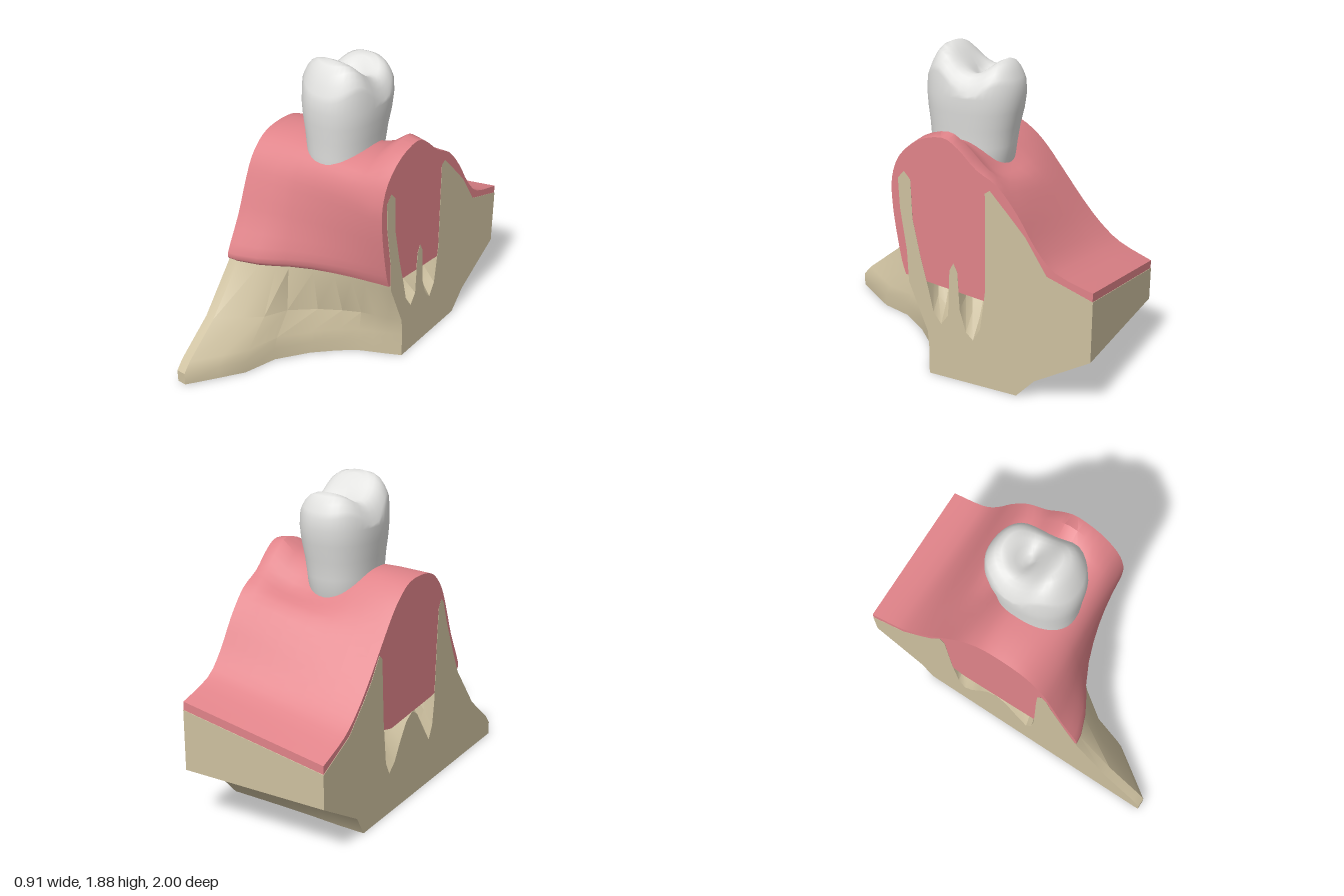
import * as THREE from 'three';
import { toCreasedNormals, mergeVertices } from 'three/addons/utils/BufferGeometryUtils.js';

const bonePaint = new THREE.MeshStandardMaterial({ color: 0xcdc09f });
bonePaint.name = 'bone beige';
const gumPaint = new THREE.MeshStandardMaterial({ color: 0xe08389 });
gumPaint.name = 'gum pink';
const toothPaint = new THREE.MeshStandardMaterial({ color: 0xe2e2e0 });
toothPaint.name = 'tooth white';

// Stations across the jaw: x, blend of wall, blend of foot, blend of ridge height, socket closure
const stations = [
  [-0.457, 0, 0, 0, 0], [-0.4, 0.02, 0, 0.1, 0.3], [-0.28, 0.15, 0.17, 0.2, 0.9],
  [-0.19, 0.3, 0.3, 0.2, 1], [-0.13, 0.42, 0.5, 0.2, 1], [0, 0.61, 0.68, 0.1, 1],
  [0.12, 0.74, 0.8, 0.15, 1], [0.22, 0.83, 0.88, 0.3, 1], [0.3, 0.89, 0.92, 0.55, 0.8],
  [0.38, 0.95, 0.96, 1.05, 0.3], [0.457, 1, 1, 0.95, 0],
];

// Bone cross-sections as [z, y]: foot, front wall, two root sockets, back wall, underside
const boneRight = [
  [1, 0], [1, 0.08], [0.95, 0.14], [0.73, 0.32], [0.51, 0.6], [0.44, 0.75], [0.34, 0.98],
  [0.3, 1.1], [0.27, 1.13], [0.24, 1.08], [0.23, 0.92], [0.22, 0.7], [0.21, 0.5], [0.19, 0.36],
  [0.15, 0.28], [0.09, 0.36], [0, 0.5], [-0.06, 0.54], [-0.13, 0.5], [-0.2, 0.4], [-0.26, 0.3],
  [-0.32, 0.25], [-0.36, 0.33], [-0.39, 0.6], [-0.41, 0.97], [-0.44, 1], [-0.52, 0.88],
  [-0.6, 0.79], [-0.75, 0.64], [-1, 0.52], [-1, 0.32], [-0.67, 0.12], [-0.6, 0],
];
const boneLeft = [
  [0, 0], [0, 0.08], [0, 0.16], [0.01, 0.27], [0.13, 0.56], [0.14, 0.75], [0.18, 1],
  [0.19, 1.18], [0.15, 1.225], [0.11, 1.18], [0.1, 0.95], [0.05, 0.72], [0, 0.53], [-0.03, 0.4],
  [-0.08, 0.335], [-0.125, 0.4], [-0.135, 0.68], [-0.16, 0.73], [-0.185, 0.68], [-0.2, 0.45], [-0.24, 0.32],
  [-0.285, 0.28], [-0.33, 0.36], [-0.36, 0.6], [-0.355, 1.18], [-0.385, 1.2], [-0.48, 1.1],
  [-0.6, 0.97], [-0.73, 0.77], [-1, 0.68], [-1, 0.32], [-0.67, 0.12], [-0.56, 0],
];

// Gum outer skin from front lip to back edge, then the hidden inner side
const gumRight = [
  [0.5, 0.61], [0.515, 0.66], [0.41, 0.87], [0.34, 1.05], [0.27, 1.2], [0.17, 1.3], [0.05, 1.335],
  [-0.1, 1.33], [-0.2, 1.28], [-0.3, 1.19], [-0.43, 1.03], [-0.55, 0.88], [-0.67, 0.75], [-0.8, 0.65], [-0.998, 0.57],
];
const gumLeft = [
  [0.15, 0.6], [0.175, 0.68], [0.21, 0.87], [0.23, 1.03], [0.23, 1.17], [0.18, 1.31], [0.06, 1.42],
  [-0.09, 1.46], [-0.19, 1.41], [-0.3, 1.31], [-0.43, 1.23], [-0.55, 1.09], [-0.66, 0.92], [-0.78, 0.8], [-0.998, 0.73],
];
const innerRight = [[-0.998, 0.5], [-0.67, 0.55], [-0.42, 0.55], [-0.3, 0.52], [0.15, 0.55], [0.4, 0.58]];
const innerLeft = [[-0.998, 0.66], [-0.67, 0.75], [-0.42, 0.6], [-0.36, 0.54], [0.04, 0.585], [0.1, 0.59]];

const lerp = THREE.MathUtils.lerp;
const across = (x) => (x + 0.457) / 0.914;

function toGeometry(positions, index, crease) {
  const g = new THREE.BufferGeometry();
  g.setAttribute('position', new THREE.Float32BufferAttribute(positions, 3));
  g.setIndex(index);
  return toCreasedNormals(g, crease);
}

// Skins closed [z, y] sections along x and caps both ends
function loft(sections, xs, crease) {
  const n = sections[0].length, positions = [], index = [];
  sections.forEach((s, j) => s.forEach(([z, y]) => positions.push(xs[j], y, z)));
  for (let j = 0; j < sections.length - 1; j++) {
    for (let i = 0; i < n; i++) {
      const k = (i + 1) % n;
      const a = j * n + i, b = j * n + k, c = b + n, d = a + n;
      index.push(a, d, c, a, c, b);
    }
  }
  for (const [j, side] of [[0, -1], [sections.length - 1, 1]]) {
    const pts = sections[j].map(([z, y]) => new THREE.Vector2(z, y));
    for (const [a, b, c] of THREE.ShapeUtils.triangulateShape(pts, [])) {
      const area = THREE.ShapeUtils.area([pts[a], pts[b], pts[c]]);
      const tri = area * side < 0 ? [a, b, c] : [a, c, b];
      index.push(...tri.map((v) => v + j * n));
    }
  }
  return toGeometry(positions, index, crease);
}

function boneGeometry() {
  const sections = stations.map(([x, wall, foot, , close]) => boneRight.map(([z, y], i) => {
    const [z2, y2] = boneLeft[i];
    let h = lerp(y, y2, i < 4 ? foot : across(x));
    if (i >= 7 && i <= 25) h = lerp(h, 0.65, close);
    return [lerp(z, z2, i < 4 ? foot : wall), h];
  }));
  return loft(sections, stations.map((s) => s[0]), 0.5);
}

function gumGeometry() {
  const sections = stations.map(([x, wall, , ridge]) => {
    const outer = gumRight.map(([z, y], i) => new THREE.Vector2(
      lerp(z, gumLeft[i][0], wall),
      lerp(y, gumLeft[i][1], i >= 4 && i <= 9 ? ridge : across(x)),
    ));
    const inner = innerRight.map(([z, y], i) => [
      lerp(z, innerLeft[i][0], wall), lerp(y, innerLeft[i][1], across(x)),
    ]);
    return [...new THREE.SplineCurve(outer).getPoints(42).map((p) => [p.x, p.y]), ...inner];
  });
  return loft(sections, stations.map((s) => s[0] * 0.996), 0.8);
}

// Crown: rings up the side, then rings closing over two cusps and a central pit
function toothGeometry() {
  const n = 40, positions = [], index = [];
  const bump = (d, w) => Math.exp(-((d / w) ** 2));
  const chew = (x, z, s) => 1.76 + 0.12 * bump(z - 0.09, 0.11) + 0.06 * bump(z + 0.27, 0.09)
    - 0.07 * bump(x, 0.1) * bump(z + 0.12, 0.06) - 0.13 * s ** 6 - 0.6 * x * x;
  const rings = [
    [0.6, 1], [0.83, 1.2], [0.87, 1.32], [0.91, 1.42], [0.97, 1.52], [1, 1.61],
    ...[0.98, 0.94, 0.87, 0.77, 0.65, 0.52, 0.39, 0.26, 0.13, 0.001].map((s) => [s, null]),
  ];
  const round = (v) => Math.sign(v) * Math.abs(v) ** 0.88;
  rings.forEach(([s, y]) => {
    for (let i = 0; i < n; i++) {
      const a = (i / n) * Math.PI * 2;
      const x = 0.226 * s * round(Math.sin(a)) - 0.004;
      const z = 0.288 * s * round(Math.cos(a)) - 0.064 + (1 - s) * 0.1 * (y ? 1 : 0);
      positions.push(x, y ?? chew(x, z, s), z);
    }
  });
  for (let j = 0; j < rings.length - 1; j++) {
    for (let i = 0; i < n; i++) {
      const a = j * n + i, b = j * n + (i + 1) % n;
      index.push(a, b, b + n, a, b + n, a + n);
    }
  }
  const g = new THREE.BufferGeometry();
  g.setAttribute('position', new THREE.Float32BufferAttribute(positions, 3));
  g.setIndex(index);
  const smooth = mergeVertices(g, 1e-4);
  smooth.computeVertexNormals();
  return smooth;
}

export function createModel() {
  const group = new THREE.Group();
  group.name = 'jawSection';
  const add = (name, geometry, material) => {
    const mesh = new THREE.Mesh(geometry, material);
    mesh.name = name;
    group.add(mesh);
  };
  add('jawBone', boneGeometry(), bonePaint);
  add('gum', gumGeometry(), gumPaint);
  add('tooth', toothGeometry(), toothPaint);
  return group;
}
